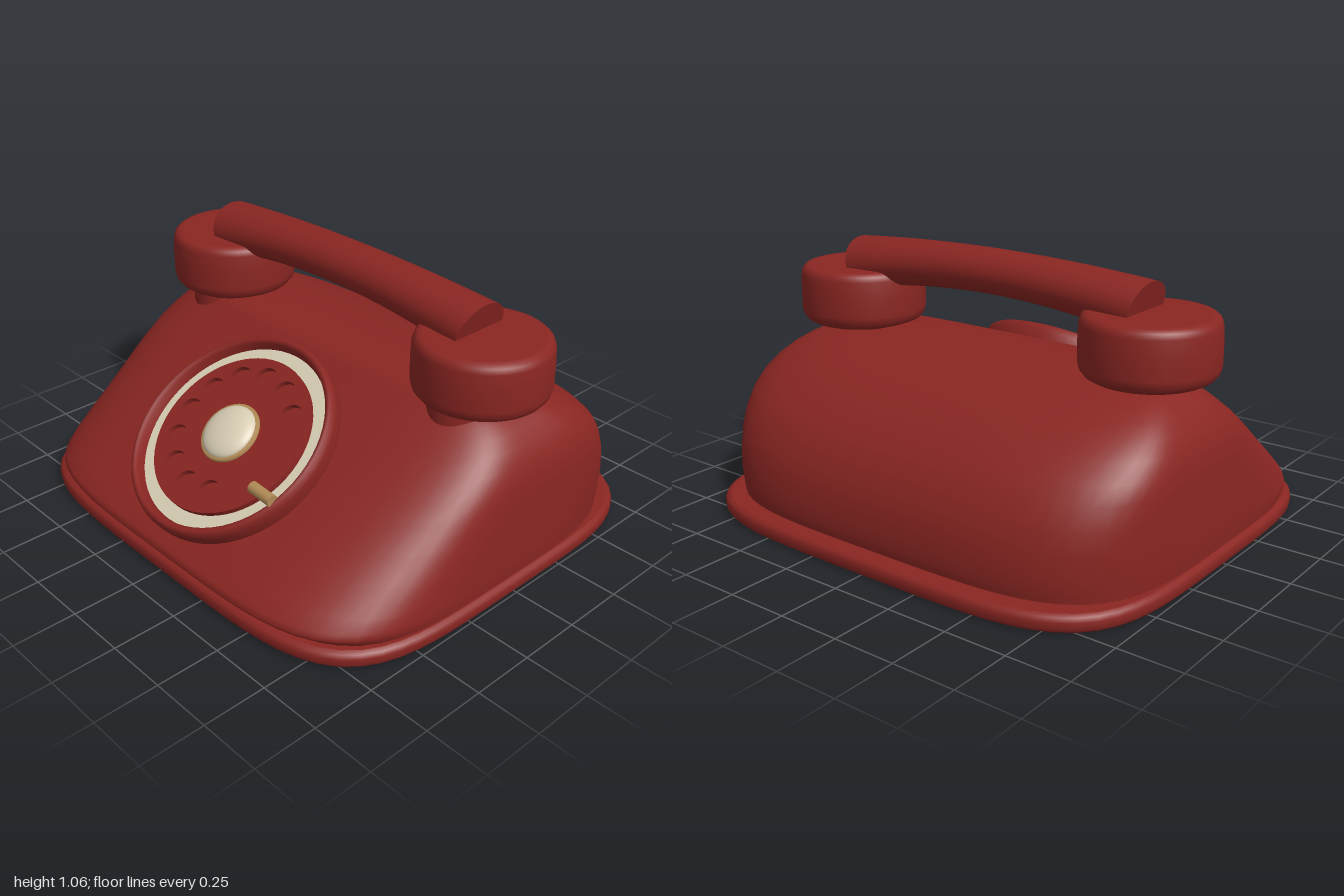
import * as THREE from 'three';

const red = new THREE.MeshStandardMaterial({ color: 0x8a2622 });
const cream = new THREE.MeshStandardMaterial({ color: 0xd8cdb4 });
const brass = new THREE.MeshStandardMaterial({ color: 0xb08a55 });

function add(parent, name, geometry, material) {
  const mesh = new THREE.Mesh(geometry, material);
  mesh.name = name;
  parent.add(mesh);
  return mesh;
}

// Smooth skin over closed rings of points, with flat caps at both ends
function loft(rings) {
  const n = rings[0].length;
  const pos = [], index = [];
  rings.forEach(r => r.forEach(p => pos.push(...p)));
  for (let i = 0; i < rings.length - 1; i++) {
    for (let j = 0; j < n; j++) {
      const a = i * n + j, b = i * n + (j + 1) % n;
      index.push(a, a + n, b, b, a + n, b + n);
    }
  }
  [rings[0], rings[rings.length - 1]].forEach((ring, end) => {
    const c = pos.length / 3;
    const mid = [0, 1, 2].map(k => ring.reduce((s, p) => s + p[k], 0) / n);
    pos.push(...mid);
    ring.forEach(p => pos.push(...p));
    for (let j = 0; j < n; j++) {
      const a = c + 1 + j, b = c + 1 + (j + 1) % n;
      index.push(c, end ? b : a, end ? a : b);
    }
  });
  const g = new THREE.BufferGeometry();
  g.setAttribute('position', new THREE.Float32BufferAttribute(pos, 3));
  g.setIndex(index);
  g.computeVertexNormals();
  return g;
}

// Horizontal rounded-square ring: height, half width, front z, back z
function plan([y, w, front, back], power = 4.6, count = 96) {
  return Array.from({ length: count }, (_, j) => {
    const t = j / count * Math.PI * 2, c = Math.cos(t), s = Math.sin(t);
    const r = Math.pow(Math.abs(c) ** power + Math.abs(s) ** power, -1 / power);
    return [w * r * c, y, (front + back) / 2 + (front - back) / 2 * r * s];
  });
}

const lathe = pts => new THREE.LatheGeometry(pts.map(p => new THREE.Vector2(...p)), 64);

function makeDial() {
  const dial = new THREE.Group();
  dial.name = 'dial';
  add(dial, 'dialRim', lathe([[0.425, -0.1], [0.433, -0.07], [0.435, -0.03], [0.43, -0.01], [0.42, 0],
    [0.408, 0], [0.398, -0.012], [0.39, -0.05]]), red);

  const floor = add(dial, 'dialFloor', new THREE.CircleGeometry(0.34, 64), red);
  const band = add(dial, 'numberBand', new THREE.RingGeometry(0.325, 0.395, 64), cream);
  floor.position.y = -0.046;
  band.position.y = -0.044;

  // Finger wheel with ten holes
  const wheel = new THREE.Shape().absarc(0, 0, 0.335, 0, Math.PI * 2);
  for (let i = 0; i < 10; i++) {
    const a = THREE.MathUtils.degToRad(42 + i * 27.7);
    wheel.holes.push(new THREE.Path().absarc(0.25 * Math.cos(a), 0.25 * Math.sin(a), 0.05, 0, Math.PI * 2, true));
  }
  const disc = add(dial, 'fingerWheel',
    new THREE.ExtrudeGeometry(wheel, { depth: 0.022, bevelEnabled: false, curveSegments: 32 }), red);
  disc.position.y = -0.043;
  [floor, band, disc].forEach(m => { m.rotation.x = -Math.PI / 2; });

  // Centre button
  add(dial, 'buttonRing', lathe([[0.125, -0.03], [0.125, -0.015], [0.12, -0.008], [0.105, -0.008]]), brass);
  const button = add(dial, 'centreButton',
    new THREE.SphereGeometry(0.113, 40, 12, 0, Math.PI * 2, 0, Math.PI / 2), cream);
  button.scale.y = 0.36;
  button.position.y = -0.012;

  // Finger stop
  const stop = add(dial, 'fingerStop', new THREE.CylinderGeometry(0.023, 0.023, 0.115, 20), brass);
  stop.rotation.z = Math.PI / 2;
  stop.rotation.y = -0.05;
  stop.position.set(0.332, 0.008, 0.135);

  dial.position.set(0, 0.469, 0.526);
  dial.rotation.x = 0.617;
  return dial;
}

function makeHandset() {
  const handset = new THREE.Group();
  handset.name = 'handset';
  for (const side of [-1, 1]) {
    const cup = add(handset, side > 0 ? 'leftCup' : 'rightCup', lathe([[0, 0.68], [0.19, 0.68], [0.215, 0.684],
      [0.237, 0.696], [0.252, 0.715], [0.258, 0.74], [0.258, 0.82], [0.255, 0.885], [0.248, 0.905],
      [0.235, 0.917], [0.215, 0.92], [0, 0.92]]), red);
    cup.position.set(side * 0.697, 0, -0.09);
  }
  // Arched grip, wider towards its slanted ends
  const rings = [];
  for (let i = 0; i <= 24; i++) {
    const t = i / 12 - 1;
    const top = 1.06 - 0.03 * t * t, bottom = 0.885 - 0.06 * t * t;
    const mid = (top + bottom) / 2, h = (top - bottom) / 2, w = 0.103 + 0.022 * t * t;
    rings.push(Array.from({ length: 40 }, (_, j) => {
      const a = j / 40 * Math.PI * 2;
      return [t * (0.673 + 0.27 * h * Math.sin(a)), mid + h * Math.sin(a), -0.09 + w * Math.cos(a)];
    }));
  }
  add(handset, 'grip', loft(rings), red);
  return handset;
}

export function createModel() {
  const model = new THREE.Group();
  model.name = 'rotaryTelephone';

  // Base plate
  add(model, 'basePlate', loft([
    [0, 0.975, 0.86, -0.86], [0.004, 0.988, 0.875, -0.875], [0.018, 0.999, 0.884, -0.884],
    [0.045, 1, 0.885, -0.885], [0.06, 0.994, 0.878, -0.878], [0.067, 0.98, 0.865, -0.865],
  ].map(r => plan(r))), red);

  // Body: sloping front, domed back, rounded shoulders
  add(model, 'body', loft([
    [0.06, 0.975, 0.845, -0.805], [0.085, 0.977, 0.875, -0.81], [0.1, 0.978, 0.882, -0.812],
    [0.12, 0.979, 0.87, -0.813], [0.16, 0.979, 0.825, -0.813], [0.24, 0.979, 0.715, -0.803],
    [0.32, 0.978, 0.6, -0.778], [0.4, 0.976, 0.486, -0.733], [0.46, 0.97, 0.4, -0.683],
    [0.52, 0.952, 0.315, -0.615], [0.57, 0.922, 0.243, -0.54], [0.61, 0.885, 0.186, -0.462],
    [0.64, 0.845, 0.143, -0.383], [0.663, 0.8, 0.112, -0.31], [0.68, 0.74, 0.09, -0.245],
    [0.69, 0.66, 0.06, -0.18], [0.695, 0.54, 0.02, -0.12], [0.697, 0.4, -0.02, -0.07],
  ].map(r => plan(r, 4.2))), red);

  // Cradle pads under the cups
  for (const side of [-1, 1]) {
    const pad = add(model, side > 0 ? 'leftCradle' : 'rightCradle', new THREE.CylinderGeometry(1, 1, 0.13, 48), red);
    pad.scale.set(0.135, 1, 0.185);
    pad.position.set(side * 0.675, 0.625, -0.06);
  }

  model.add(makeDial(), makeHandset());
  return model;
}
